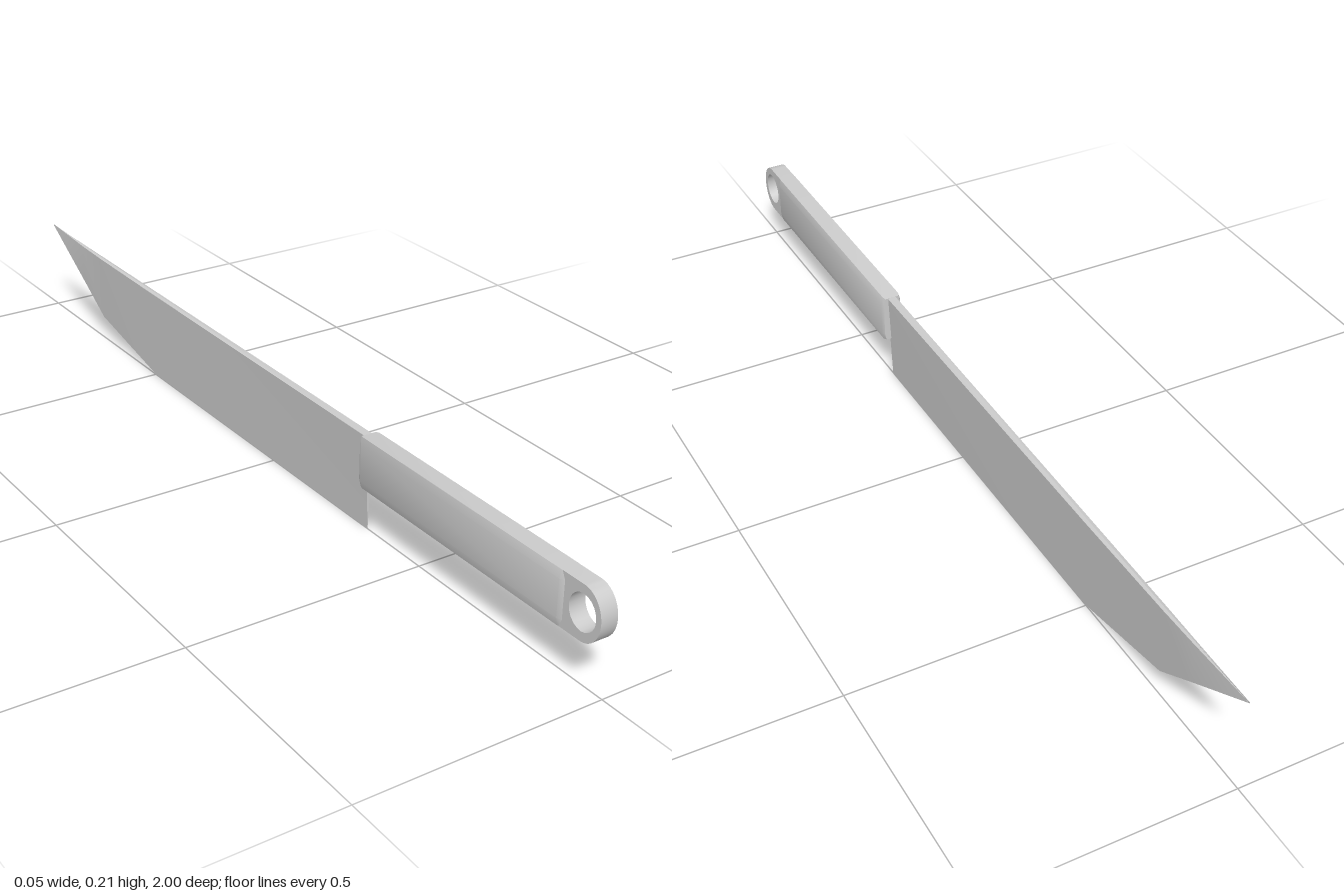
import * as THREE from 'three';
import { toCreasedNormals } from 'three/addons/utils/BufferGeometryUtils.js';

const material = new THREE.MeshStandardMaterial({ color: 0xcccccc });

// Skins rings of [x, y, z] points (counter-clockwise seen from +z, rings running toward -z) and caps both ends
function loft(rings) {
  const n = rings[0].length;
  const index = [];
  for (let r = 0; r < rings.length - 1; r++) {
    for (let i = 0; i < n; i++) {
      const a = r * n + i, b = r * n + (i + 1) % n;
      index.push(a, a + n, b, b, a + n, b + n);
    }
  }
  const last = (rings.length - 1) * n;
  for (let i = 1; i < n - 1; i++) {
    index.push(0, i, i + 1);
    index.push(last, last + i + 1, last + i);
  }
  const geometry = new THREE.BufferGeometry();
  geometry.setAttribute('position', new THREE.Float32BufferAttribute(rings.flat(2), 3));
  geometry.setIndex(index);
  return toCreasedNormals(geometry, 0.5);
}

function addPart(group, name, geometry) {
  const mesh = new THREE.Mesh(geometry, material);
  mesh.name = name;
  group.add(mesh);
}

export function createModel() {
  const group = new THREE.Group();
  group.name = 'knife';

  // Blade: wedge sections from heel to tip, [z, edge y, spine y, half thickness]
  const stations = [
    [0.335, 0, 0.203, 0.009],
    [-0.5, 0, 0.204, 0.007],
    [-0.75, 0.053, 0.205, 0.0055],
    [-0.84, 0.109, 0.206, 0.004],
    [-1, 0.207, 0.209, 0.0003],
  ];
  addPart(group, 'blade', loft(stations.map(([z, edge, spine, t]) => [
    [0, edge, z], [t, spine - 0.002, z], [0, spine, z], [-t, spine - 0.002, z],
  ])));

  // Grip: chamfered section with narrowed ends, [z, width scale, height scale]
  const section = [
    [0.0185, -0.054], [0.0225, -0.038], [0.0225, 0.038], [0.0185, 0.054],
    [-0.0185, 0.054], [-0.0225, 0.038], [-0.0225, -0.038], [-0.0185, -0.054],
  ];
  const gripEnds = [[0.909, 0.8, 1], [0.9, 1, 1], [0.338, 1, 1], [0.33, 0.85, 0.97]];
  addPart(group, 'grip', loft(gripEnds.map(([z, w, h]) =>
    section.map(([x, y]) => [x * w, 0.15 + y * h, z]))));

  // Hanging end: rounded tab with a hole through it
  const tab = new THREE.Shape();
  tab.moveTo(0.895, 0.096);
  tab.lineTo(0.955, 0.096);
  tab.absellipse(0.955, 0.15, 0.045, 0.054, -Math.PI / 2, Math.PI / 2, false);
  tab.lineTo(0.895, 0.204);
  tab.closePath();
  const hole = new THREE.Path();
  hole.absellipse(0.955, 0.151, 0.033, 0.036, 0, Math.PI * 2, true);
  tab.holes.push(hole);
  const tabGeometry = new THREE.ExtrudeGeometry(tab, { depth: 0.036, bevelEnabled: false, curveSegments: 10 });
  tabGeometry.rotateY(-Math.PI / 2).translate(0.018, 0, 0);
  addPart(group, 'hangingEnd', toCreasedNormals(tabGeometry, 0.8));

  return group;
}
